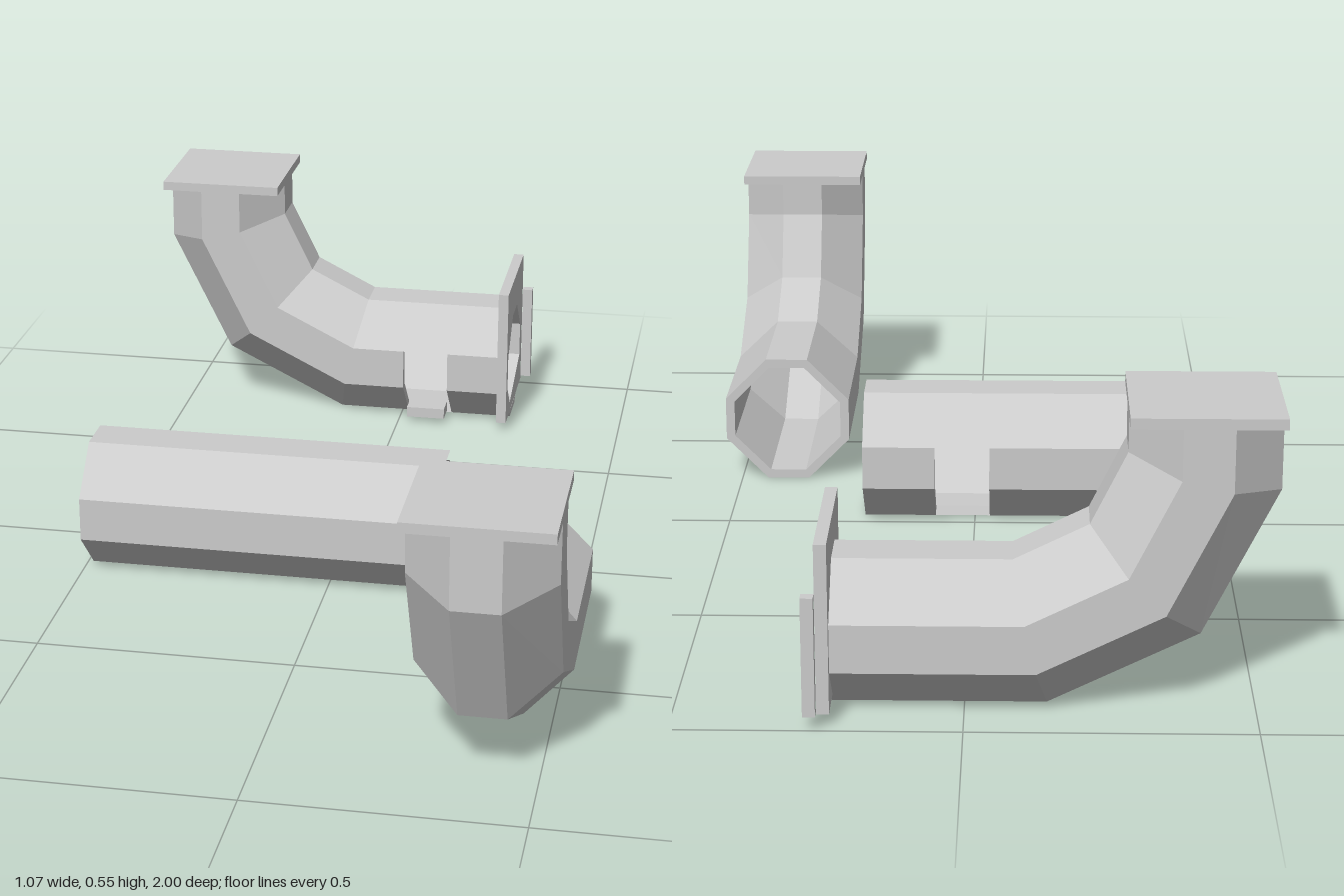
import * as THREE from 'three';

const W = 0.26; // pipe width
const INNER = 0.86; // bore relative to the outside
// octagon corners: u runs from the outer (lower) to the inner (upper) side, w across
const OCT = [[0, -1 / 6], [0, 1 / 6], [1 / 3, 1 / 2], [2 / 3, 1 / 2], [1, 1 / 6], [1, -1 / 6], [2 / 3, -1 / 2], [1 / 3, -1 / 2]];
const ALL = [0, 1, 2, 3, 4, 5, 6, 7];
const WINDOW = [6, 7]; // sides opened by the window

const material = () => new THREE.MeshStandardMaterial({ color: 0xcccccc, flatShading: true });

function mesh(geometry, name) {
  const m = new THREE.Mesh(geometry, material());
  m.name = name;
  return m;
}

function box(name, x0, x1, y0, y1, z0, z1) {
  const m = mesh(new THREE.BoxGeometry(x1 - x0, y1 - y0, z1 - z0), name);
  m.position.set((x0 + x1) / 2, (y0 + y1) / 2, (z0 + z1) / 2);
  return m;
}

// Hollow eight-sided pipe; each ring is [outer s, outer y, inner s, inner y]
function pipe(name, rings, { startCaps = ALL, endCaps = [], windowAt = -1 } = {}) {
  const pos = [];
  const quad = (a, b, c, d, flip) => {
    for (const p of flip ? [a, d, c, a, c, b] : [a, b, c, a, c, d]) pos.push(...p);
  };
  const section = ([s0, y0, s1, y1], scale) => OCT.map(([u, w]) => {
    const t = 0.5 + (u - 0.5) * scale;
    return [s0 + (s1 - s0) * t, y0 + (y1 - y0) * t, w * W * scale];
  });
  const out = rings.map((r) => section(r, 1));
  const inn = rings.map((r) => section(r, INNER));
  const cap = (i, k, flip) => {
    const n = (k + 1) % 8;
    quad(out[i][k], out[i][n], inn[i][n], inn[i][k], flip);
  };
  const lateral = (i, k, flip) => quad(out[i][k], inn[i][k], inn[i + 1][k], out[i + 1][k], flip);

  for (let i = 0; i < rings.length - 1; i++) {
    for (const k of ALL) {
      if (i === windowAt && WINDOW.includes(k)) {
        // thickness of the wall around the window
        cap(i, k, true);
        cap(i + 1, k, false);
        continue;
      }
      const n = (k + 1) % 8;
      quad(out[i][k], out[i + 1][k], out[i + 1][n], out[i][n], false);
      quad(inn[i][k], inn[i + 1][k], inn[i + 1][n], inn[i][n], true);
    }
  }
  if (windowAt >= 0) {
    lateral(windowAt, 0, false);
    lateral(windowAt, 6, true);
  }
  startCaps.forEach((k) => cap(0, k, false));
  endCaps.forEach((k) => cap(rings.length - 1, k, true));

  const g = new THREE.BufferGeometry();
  g.setAttribute('position', new THREE.Float32BufferAttribute(pos, 3));
  g.computeVertexNormals();
  return mesh(g, name);
}

const straight = (s) => [s, 0, s, 0.263];

// Elbow rising from a level mouth to a square plate on top
function elbow(name, startRings, options) {
  const group = new THREE.Group();
  group.name = name;
  group.add(pipe(name + 'Pipe', [
    ...startRings.map(straight),
    [0.345, 0, 0.285, 0.263],
    [0.607, 0.13, 0.415, 0.328],
    [0.737, 0.393, 0.478, 0.457],
    [0.737, 0.527, 0.478, 0.527],
  ], options));
  group.add(box(name + 'TopPlate', 0.477, 0.737, 0.526, 0.545, -W / 2, W / 2));
  return group;
}

// Square flange with an eight-sided opening, facing +x
function flange() {
  const shape = new THREE.Shape();
  // shape x runs along -z, measured from the pipe axis
  shape.moveTo(-0.135, 0.02);
  shape.lineTo(0.147, 0.02);
  shape.lineTo(0.147, 0.327);
  shape.lineTo(-0.135, 0.327);
  shape.closePath();
  shape.holes.push(new THREE.Path(OCT.map(([u, w]) =>
    new THREE.Vector2(w * W * INNER, 0.1315 + (u - 0.5) * 0.263 * INNER))));
  const m = mesh(new THREE.ExtrudeGeometry(shape, { depth: 0.022, bevelEnabled: false }), 'endFlange');
  m.rotation.y = Math.PI / 2;
  m.position.set(0.227, 0, -0.83);
  return m;
}

export function createModel() {
  const model = new THREE.Group();
  model.name = 'pipeSet';

  // front elbow
  const front = elbow('frontElbow', [0]);
  front.rotation.y = -Math.PI / 2;
  front.position.set(0.402, 0, 0.263);
  model.add(front);

  // straight pipe with a window in its lower back
  const middle = pipe('straightPipe', [0, 0.46, 0.57, 0.715].map(straight), { endCaps: [1], windowAt: 1 });
  middle.position.set(-0.49, 0, 0.085);
  model.add(middle);

  // back elbow with a window in its lower front
  const back = elbow('backElbow', [-0.045, 0.09, 0.19], { windowAt: 1 });
  back.rotation.y = Math.PI;
  back.position.set(0.203, 0, -0.83);
  model.add(back);

  // flange on the mouth of the back elbow, its side post and the window lip
  model.add(flange());
  model.add(box('sidePost', 0.249, 0.271, 0.025, 0.24, -1, -0.98));
  model.add(box('windowLip', 0.02, 0.105, 0.012, 0.035, -0.765, -0.715));
  return model;
}
